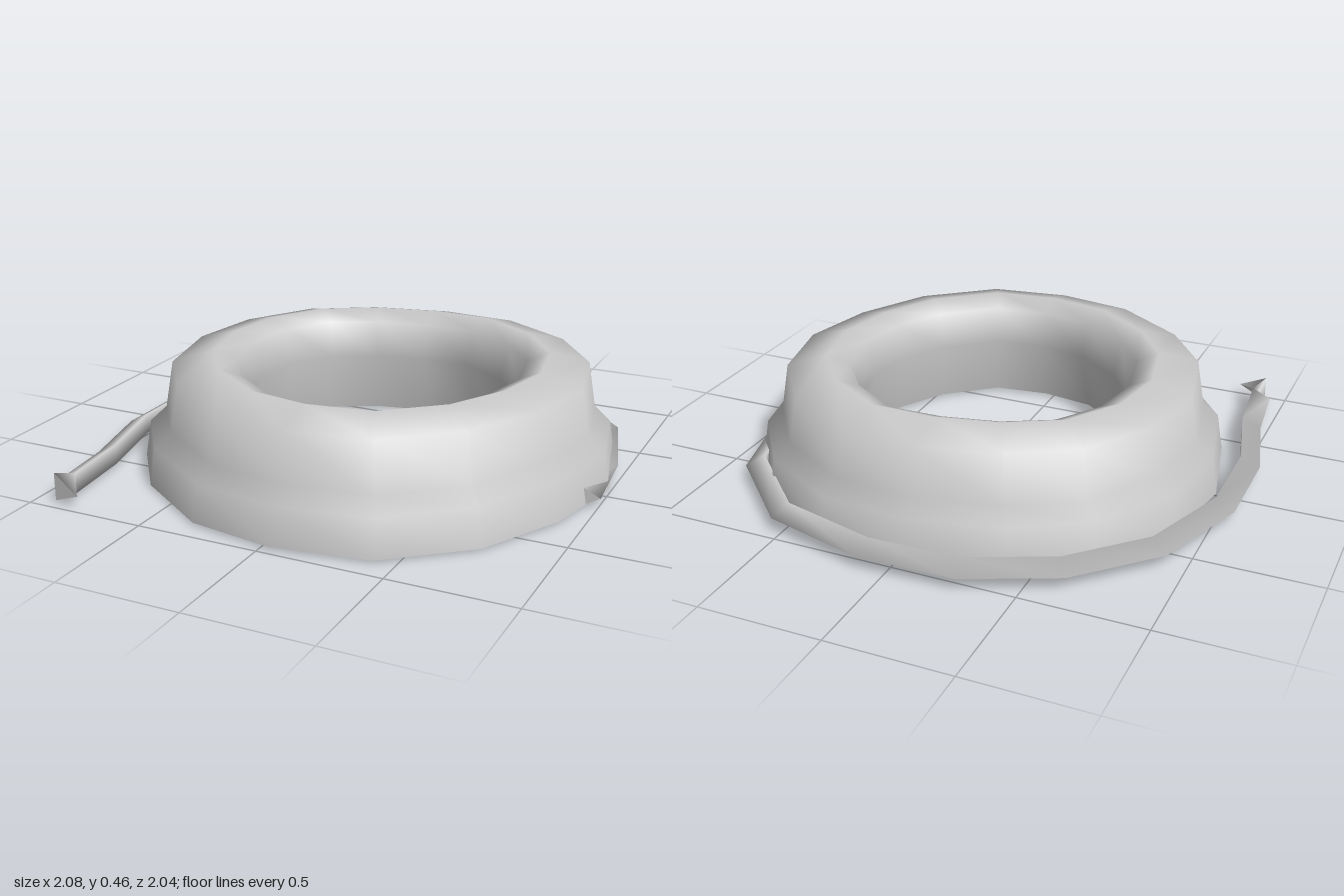
import * as THREE from 'three';

const material = new THREE.MeshStandardMaterial({ color: 0xcccccc, side: THREE.DoubleSide });

// Skin equal-length loops of Vector3 into one smooth surface
function loft(loops, capEnds = false) {
  const n = loops[0].length, index = [];
  for (let i = 0; i < loops.length - 1; i++) {
    for (let j = 0; j < n; j++) {
      const a = i * n + j, b = i * n + (j + 1) % n;
      index.push(a, b, a + n, b, b + n, a + n);
    }
  }
  const points = loops.flat();
  if (capEnds) {
    for (const [k, flip] of [[0, true], [loops.length - 1, false]]) {
      const s = points.length;
      points.push(...loops[k]);
      for (let j = 1; j < n - 1; j++) index.push(s, s + (flip ? j + 1 : j), s + (flip ? j : j + 1));
    }
  }
  const geometry = new THREE.BufferGeometry().setFromPoints(points);
  geometry.setIndex(index);
  geometry.computeVertexNormals();
  return geometry;
}

function add(group, name, geometry) {
  const mesh = new THREE.Mesh(geometry, material);
  mesh.name = name;
  group.add(mesh);
}

export function createModel() {
  const group = new THREE.Group();
  group.name = 'coiledHose';

  // Uneven outlines (x, z) of the coil's foot and of its hole
  const foot = [
    [0.995, -0.05], [0.91, 0.32], [0.73, 0.66], [0.42, 0.91], [0.04, 0.97], [-0.32, 0.91],
    [-0.66, 0.68], [-0.86, 0.41], [-0.95, 0], [-0.89, -0.35], [-0.69, -0.67], [-0.39, -0.85],
    [-0.02, -0.935], [0.35, -0.91], [0.69, -0.72], [0.91, -0.42]];
  const hole = [
    [0.58, -0.02], [0.54, 0.18], [0.43, 0.37], [0.24, 0.53], [0.03, 0.555], [-0.17, 0.52],
    [-0.37, 0.38], [-0.49, 0.21], [-0.535, 0], [-0.5, -0.22], [-0.385, -0.39], [-0.21, -0.48],
    [0, -0.525], [0.2, -0.53], [0.4, -0.41], [0.54, -0.24]];

  // Coil profile: [share of the way from hole to foot, height]; open underneath
  const profile = [[1, 0.01], [0.94, 0.16], [0.78, 0.22], [0.7, 0.415], [0.3, 0.46],
    [0.08, 0.42], [0, 0.27], [0.14, 0.01]];
  const rings = profile.map(([t, y]) => hole.map(([x, z], i) => new THREE.Vector3(
    THREE.MathUtils.lerp(x, foot[i][0], t), y, THREE.MathUtils.lerp(z, foot[i][1], t))));
  add(group, 'coil', loft(rings.map((ring) => ring.reverse())));

  // Loose hose: three-sided tube, given by the path (x, z) of its outer face
  const path = [
    [0.93, 0.13], [0.9, -0.22], [0.8, -0.58], [0.5, -0.88], [0.1, -0.985], [-0.27, -0.975],
    [-0.6, -0.825], [-0.86, -0.56], [-0.995, -0.18], [-0.995, 0.2], [-0.91, 0.55], [-0.875, 0.87]];
  const sections = path.map(([x, z], i) => {
    const [ax, az] = path[Math.max(i - 1, 0)];
    const [bx, bz] = path[Math.min(i + 1, path.length - 1)];
    const inward = new THREE.Vector2(-(bz - az), bx - ax).normalize().multiplyScalar(0.08);
    const y = i < 2 ? 0 : 0.012;
    return [
      new THREE.Vector3(x, y, z),
      new THREE.Vector3(x + inward.x, y + 0.042, z + inward.y),
      new THREE.Vector3(x, y + 0.084, z)];
  });
  // Flared end
  sections.push([
    new THREE.Vector3(-0.915, 0.005, 0.95),
    new THREE.Vector3(-0.79, 0.055, 0.98),
    new THREE.Vector3(-0.915, 0.12, 0.95)]);
  add(group, 'looseHose', loft(sections, true));

  return group;
}
